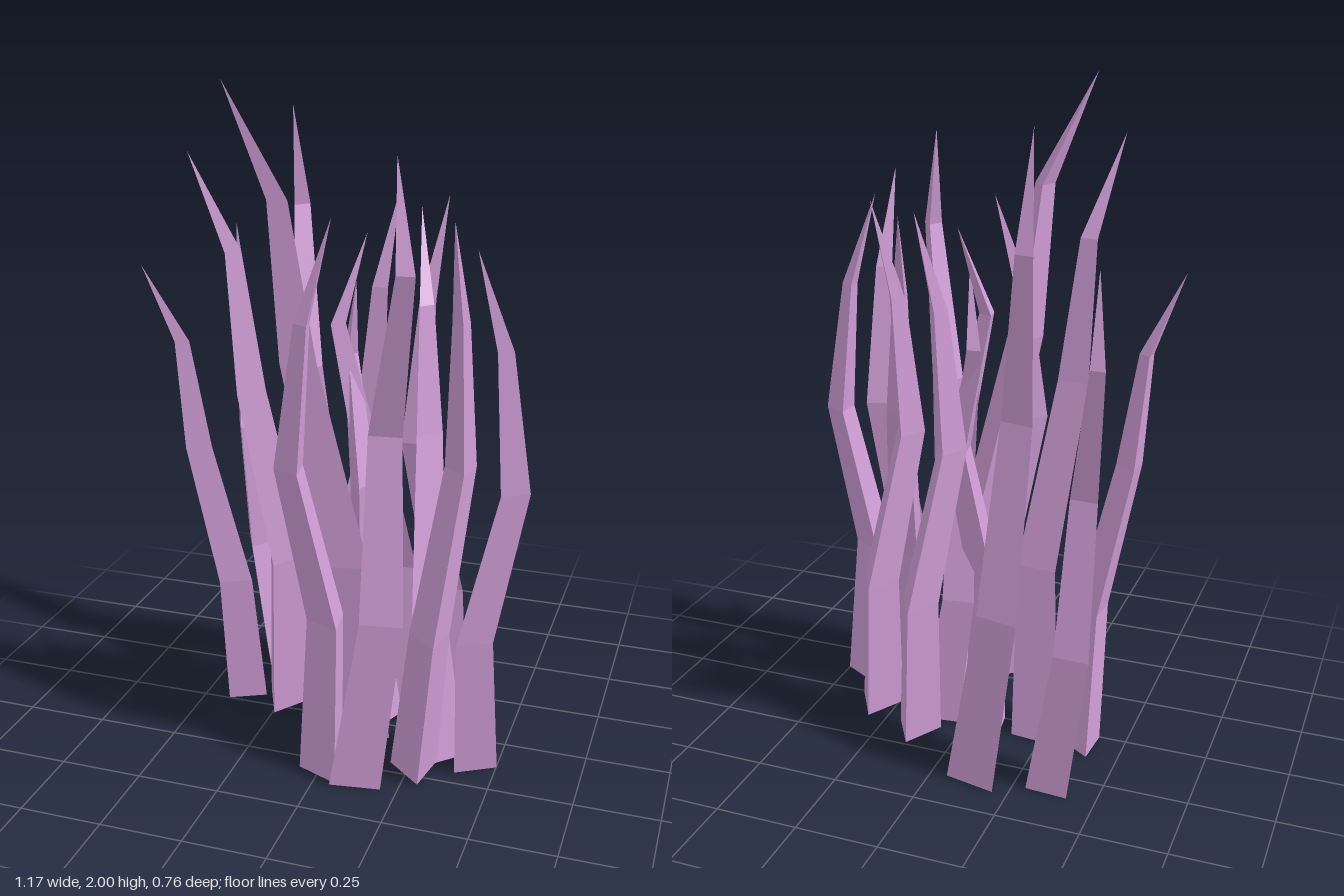
import * as THREE from 'three';

// Corner radius of the four triangular rings of a blade one unit tall
const RADII = [0.048, 0.04, 0.031, 0.017];

// Three blade forms, each one unit tall with its tip leaning towards +x.
// path: height, reach and turn (degrees) of each ring centre and the tip
const STYLES = {
  leaning: {
    corner: -15,
    path: [[0, 0, 0], [0.3, 0.04, -42], [0.61, 0.097, -7], [0.84, 0.124, -5], [1, 0.197, 0]],
  },
  hooked: {
    corner: 30,
    path: [[0, 0, 0], [0.28, 0.04, 0], [0.57, 0.07, -64], [0.825, 0.064, -42], [1, 0.08, 0]],
  },
  wavy: {
    corner: -32,
    path: [[0, 0, 0], [0.285, 0.04, 45], [0.575, 0.075, -5], [0.835, 0.07, 42], [1, 0.085, 0]],
  },
};

// Each blade: height, base x, base z, lean direction (0 = +x, 90 = +z)
const BLADES = {
  leaning: [
    [1.46, -0.377, -0.06, 139],
    [1.82, -0.235, -0.045, 111],
    [2, 0.06, 0.04, 156],
    [1.62, 0.317, 0.113, 241],
  ],
  hooked: [
    [1.66, 0.31, -0.055, 240],
    [1.66, 0.135, -0.16, 240],
    [1.6, 0.425, 0.13, 90],
    [1.68, 0.27, 0.215, 40],
    [1.64, 0.015, 0.295, 262],
  ],
  wavy: [
    [1.53, -0.355, -0.31, 126],
    [1.89, -0.137, -0.335, 134],
    [1.82, 0.12, 0.315, -66],
    [1.57, -0.075, -0.063, 24],
    [1.45, 0.09, -0.045, 115],
  ],
};

// Point at a distance and direction from the blade's root
function polar(reach, degrees, y) {
  const a = THREE.MathUtils.degToRad(degrees);
  return new THREE.Vector3(reach * Math.cos(a), y, reach * Math.sin(a));
}

// Bent three-sided blade, open at the root and closing in a point
function bladeGeometry({ corner, path }) {
  const points = [];
  RADII.forEach((radius, i) => {
    const [y, reach, turn] = path[i];
    for (let k = 0; k < 3; k++) {
      points.push(polar(reach, turn, y).add(polar(radius, corner + k * 120, 0)));
    }
  });
  const [tipY, tipReach, tipTurn] = path[4];
  points.push(polar(tipReach, tipTurn, tipY));

  const index = [];
  for (let i = 0; i < 4; i++) {
    for (let k = 0; k < 3; k++) {
      const p = i * 3 + k;
      const q = i * 3 + (k + 1) % 3;
      if (i === 3) index.push(p, 12, q);
      else index.push(p, p + 3, q, q, p + 3, q + 3);
    }
  }
  const geometry = new THREE.BufferGeometry().setFromPoints(points);
  geometry.setIndex(index);
  const faceted = geometry.toNonIndexed();
  faceted.computeVertexNormals();
  return faceted;
}

export function createModel() {
  const group = new THREE.Group();
  group.name = 'grassTuft';
  const lilac = new THREE.MeshStandardMaterial({ color: 0xd29fd8, side: THREE.DoubleSide });
  lilac.name = 'lilac';
  for (const [style, blades] of Object.entries(BLADES)) {
    const geometry = bladeGeometry(STYLES[style]);
    blades.forEach(([height, x, z, lean], i) => {
      const blade = new THREE.Mesh(geometry, lilac);
      blade.name = `${style}Blade${i + 1}`;
      blade.position.set(x, 0, z);
      blade.rotation.y = -THREE.MathUtils.degToRad(lean);
      blade.scale.setScalar(height);
      group.add(blade);
    });
  }
  return group;
}
